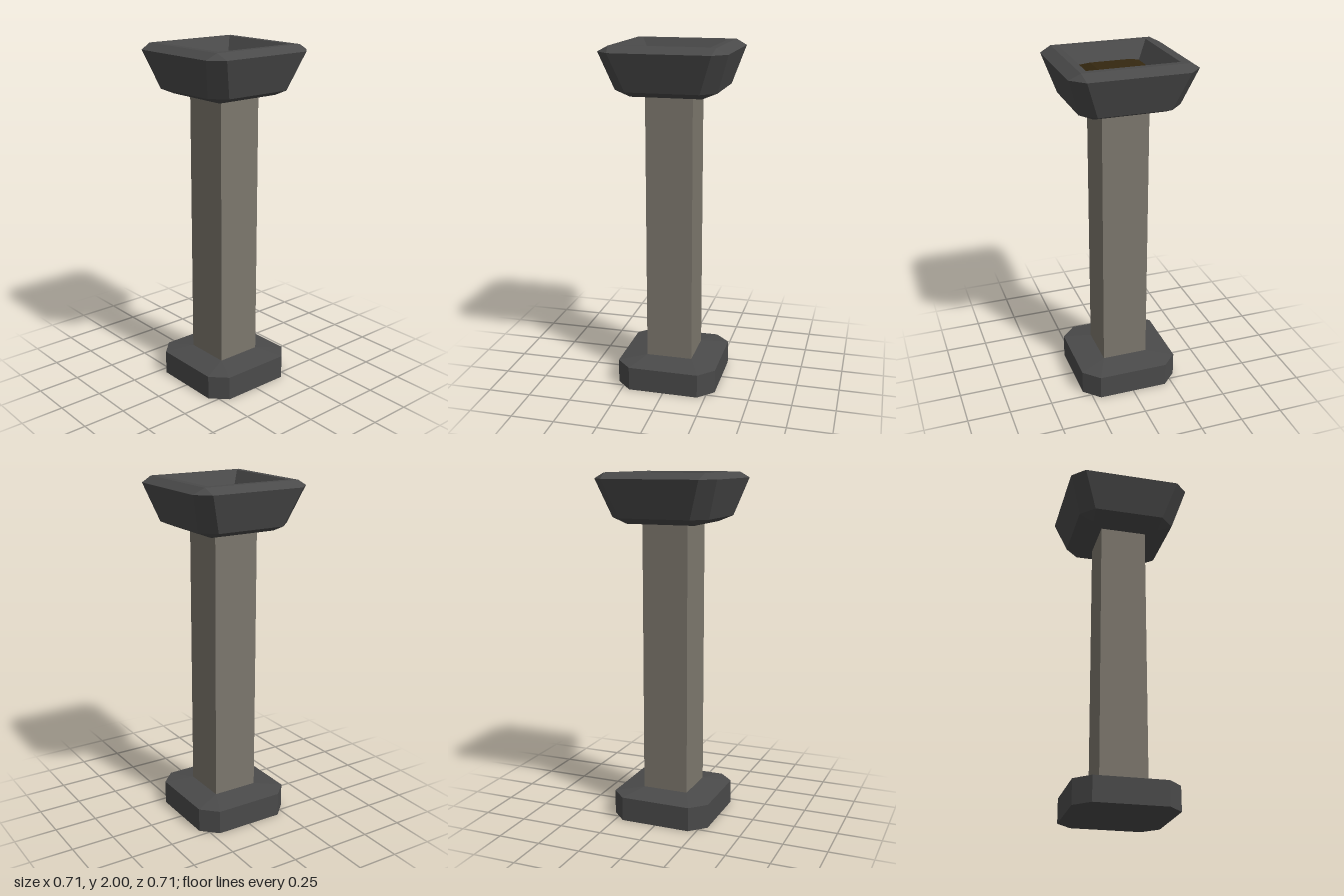
import * as THREE from 'three';

// Cross-section at height y: half-width h, flats ending at c (c === h gives a square).
function ring([h, c, y]) {
  return [[h, -c], [h, c], [c, h], [-c, h], [-h, c], [-h, -c], [-c, -h], [c, -h]]
    .map(([x, w]) => new THREE.Vector3(x, y, -w));
}

// Skins the cross-sections in order, with optional end caps.
function loft(sections, capStart, capEnd) {
  const rings = sections.map(ring);
  const pos = [];
  const tri = (a, b, c) => {
    const area = b.clone().sub(a).cross(c.clone().sub(a)).length();
    if (area > 1e-7) pos.push(...a.toArray(), ...b.toArray(), ...c.toArray());
  };
  for (let r = 0; r < rings.length - 1; r++) {
    const lo = rings[r], hi = rings[r + 1];
    for (let i = 0; i < 8; i++) {
      const j = (i + 1) % 8;
      tri(lo[i], lo[j], hi[j]);
      tri(lo[i], hi[j], hi[i]);
    }
  }
  const first = rings[0], last = rings[rings.length - 1];
  for (let i = 1; i < 7; i++) {
    if (capStart) tri(first[0], first[i + 1], first[i]);
    if (capEnd) tri(last[0], last[i], last[i + 1]);
  }
  const geometry = new THREE.BufferGeometry();
  geometry.setAttribute('position', new THREE.Float32BufferAttribute(pos, 3));
  geometry.computeVertexNormals();
  return geometry;
}

function material(name, color) {
  const m = new THREE.MeshStandardMaterial({ color, flatShading: true });
  m.name = name;
  return m;
}

export function createModel() {
  const model = new THREE.Group();
  model.name = 'pedestalPlanter';
  const iron = material('darkIron', 0x4a4a4a);
  const stone = material('warmStone', 0x7c776d);
  const earth = material('brownEarth', 0x352810);

  const add = (name, geometry, mat) => {
    const mesh = new THREE.Mesh(geometry, mat);
    mesh.name = name;
    model.add(mesh);
    return mesh;
  };

  // Chamfered foot sloping up to the pillar
  add('base', loft([
    [0.293, 0.205, 0], [0.293, 0.205, 0.14], [0.135, 0.135, 0.163],
  ], true, false), iron);

  // Square pillar
  add('pillar', new THREE.BoxGeometry(0.27, 1.58, 0.27), stone).position.y = 0.94;

  // Flared bowl: outside, rim, then down the inner walls
  add('bowl', loft([
    [0.2, 0.2, 1.72], [0.285, 0.205, 1.755], [0.355, 0.28, 1.967],
    [0.292, 0.292, 2], [0.255, 0.255, 2], [0.193, 0.193, 1.9],
  ], true, false), iron);

  // Low mound filling the bowl
  add('soil', loft([
    [0.193, 0.193, 1.9], [0.118, 0.118, 1.932],
  ], false, true), earth);

  return model;
}
